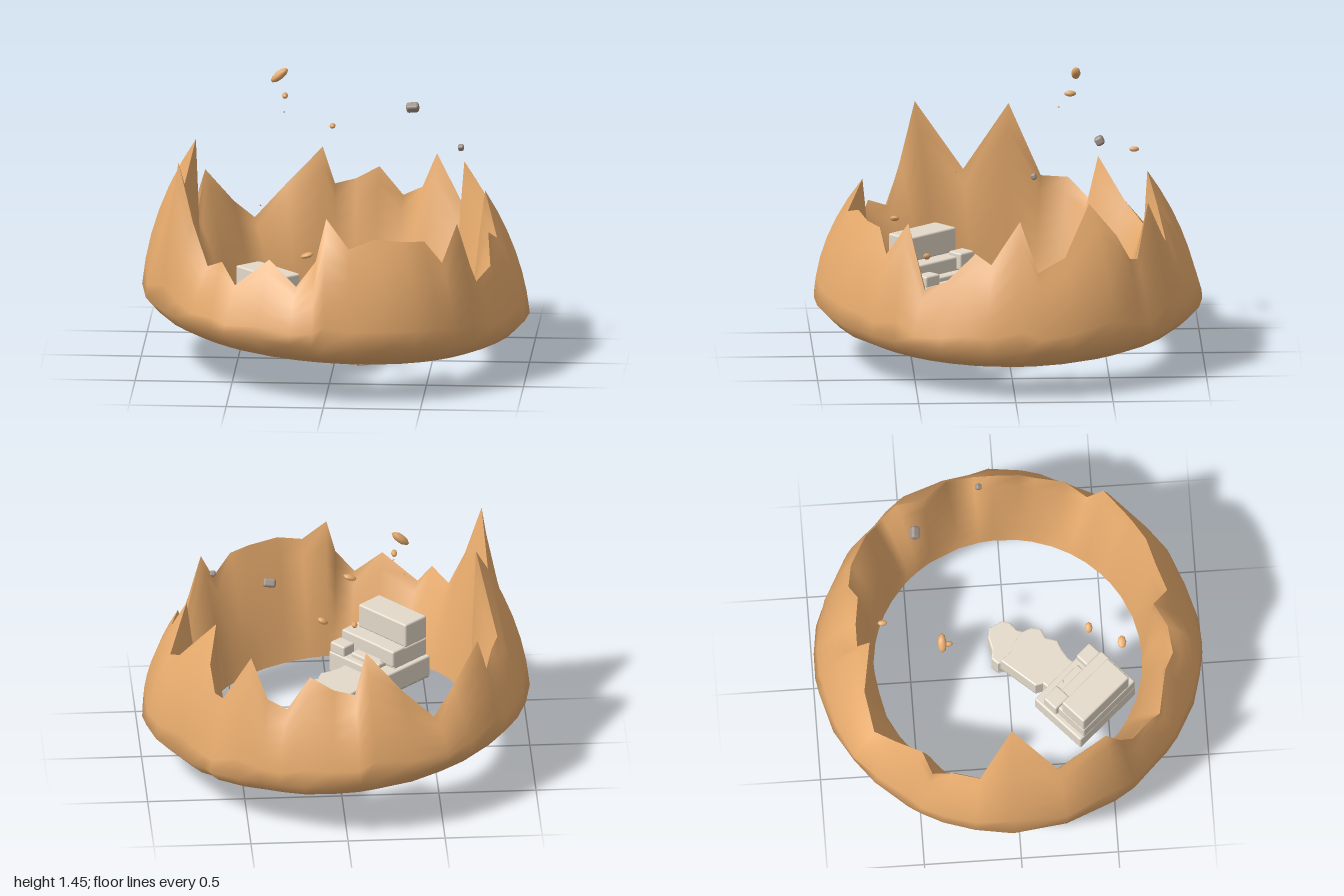
import * as THREE from 'three';
import { RoundedBoxGeometry } from 'three/addons/geometries/RoundedBoxGeometry.js';

const mat = (name, color, side = THREE.FrontSide) => {
  const m = new THREE.MeshStandardMaterial({ color, side });
  m.name = name;
  return m;
};

export function createModel() {
  const root = new THREE.Group();
  root.name = 'brokenRingWithSteps';
  const clay = mat('orange clay', 0xe7ab6d, THREE.DoubleSide);
  const stone = mat('pale stone', 0xe4dacb);
  const under = mat('grey stone underside', 0xbab5af);
  const pebble = mat('grey pebble', 0xa09389);

  let seed = 7;
  const rnd = () => (seed = (seed * 16807) % 2147483647) / 2147483647;
  const add = (parent, name, geo, material) => {
    const mesh = new THREE.Mesh(geo, material);
    mesh.name = name;
    parent.add(mesh);
    return mesh;
  };

  // Jagged upper edge, once around from the front: x, y, z per point
  const edge = [
    0, .94, .75, .12, .8, .83, .25, .84, .78, .4, .82, .74, .5, .81, .68, .59, .69, .65,
    .66, .87, .54, .75, .54, .46, .82, .6, .35, .8, .74, .2, .84, .69, .12, .77, .9, -.03,
    .86, .65, -.12, .82, .72, -.26, .64, .96, -.39, .68, .8, -.53, .66, .67, -.6, .62, .66, -.64,
    .48, .92, -.7, .4, .72, -.78, .3, .67, -.8, .18, .83, -.76, .06, .76, -.78, -.05, .73, -.78,
    -.11, .94, -.72, -.3, .73, -.76, -.46, .56, -.72, -.56, .67, -.62, -.7, .87, -.49,
    -.74, .64, -.44, -.78, .74, -.34, -.82, .74, -.2, -.72, 1.15, -.03, -.81, .78, .2,
    -.78, 1.15, .45, -.7, .85, .53, -.62, .64, .6, -.54, .69, .7, -.47, .58, .75, -.29, .73, .79,
    -.15, .6, .84, -.05, .73, .82,
  ];
  const count = edge.length / 3, steps = 7;
  const columns = Array.from({ length: count }, (_, i) => {
    const [x, y, z] = edge.slice(i * 3, i * 3 + 3);
    const a = Math.atan2(x, z);
    return { a, y, r: Math.hypot(x, z), tilt: -.06 * Math.sin(a),
      belly: 1 - .025 * rnd() * Math.abs(Math.sin(2 * a)), lean: .935 + .06 * rnd() };
  });

  // Quadratic curve through [radius, height] points
  const bend = (p, c, q) => Array.from({ length: steps }, (_, j) => {
    const t = j / (steps - 1), u = 1 - t;
    return [0, 1].map((k) => u * u * p[k] + 2 * u * t * c[k] + t * t * q[k]);
  });

  // Closed band lofted through one [radius, height] profile per column
  const band = (name, profile) => {
    const pos = [], index = [];
    columns.forEach((col, i) => {
      const pts = profile(col), rows = pts.length, n = (i + 1) % count;
      pts.forEach(([r, h], j) => {
        pos.push(r * Math.sin(col.a), h, r * Math.cos(col.a));
        if (j === rows - 1) return;
        const p = i * rows + j, q = n * rows + j;
        index.push(p, q, q + 1, p, q + 1, p + 1);
      });
    });
    const geo = new THREE.BufferGeometry();
    geo.setAttribute('position', new THREE.Float32BufferAttribute(pos, 3));
    geo.setIndex(index);
    geo.computeVertexNormals();
    add(root, name, geo, clay);
  };

  // Outer wall: from the inner foot round the belly up to the edge
  band('ringOuterWall', ({ y, r, tilt, belly, lean }) => {
    const y0 = .315 + tilt;
    const foot = [[.69, .19], [.75, .177], [.82, .193], [.93 * belly, .24]];
    return [
      ...foot.map(([fr, h]) => [fr, h + tilt * fr]),
      ...bend([belly, y0], [lean, y0 + (y - y0) * .52], [r, y]),
    ];
  });

  // Inner wall: from the edge down to the foot
  band('ringInnerWall', ({ y, r, tilt }) => {
    const y0 = .19 + tilt * .69;
    return bend([r, y], [.69 + (r - .69) * .4, y0 + (y - y0) * .55], [.69, y0]);
  });

  // Stepping slabs: flat outline in x, z raised between two heights
  const slab = (name, outline, bottom, top) => {
    const g = new THREE.Group();
    g.name = name;
    const shape = new THREE.Shape(outline.map(([x, z]) => new THREE.Vector2(x, -z)));
    const layer = (part, y, options, material) => {
      const geo = new THREE.ExtrudeGeometry(shape, options);
      geo.rotateX(-Math.PI / 2);
      geo.translate(0, y, 0);
      add(g, part, geo, material);
    };
    const b = .008;
    layer('slabBody', bottom + .004 + b, { depth: top - bottom - .004 - 2 * b, bevelThickness: b,
      bevelSize: b, bevelOffset: -b, bevelSegments: 2 }, stone);
    layer('slabUnderside', bottom, { depth: .005, bevelEnabled: false }, under);
    root.add(g);
  };
  slab('lowSteppingStone', [[.02, -.05], [.05, -.08], [.1, -.075], [.17, -.09], [.22, -.08], [.255, -.01],
    [.24, .03], [.2, .06], [.18, .11], [.12, .135], [.07, .1], [.09, .05], [.08, .04], [.03, .01]], 0, .135);
  slab('middleSteppingSlab', [[-.03, -.04], [.02, .02], [.07, .04], [.12, .08], [.14, .13], [.13, .18],
    [.08, .2], [.06, .26], [.01, .28], [-.04, .31], [-.1, .38], [-.25, .25], [-.17, .17], [-.18, .13]], .2, .32);

  // Stair block, climbing away from the slabs: x, y, z, width, height, depth
  const stairs = new THREE.Group();
  stairs.name = 'stairBlock';
  stairs.position.set(-.25, 0, .38);
  stairs.rotation.y = -.835;
  root.add(stairs);
  add(stairs, 'stairUnderside', new THREE.BoxGeometry(.4, .006, .32), under).position.y = .241;
  [
    [0, .302, 0, .41, .118, .33],
    [.01, .405, .045, .38, .1, .24],
    [-.01, .518, .085, .34, .13, .155],
    [.15, .385, -.12, .1, .06, .08],
    [-.15, .43, -.06, .1, .09, .09],
    [-.02, .36, -.1, .2, .05, .06],
  ].forEach(([x, y, z, w, h, d], i) =>
    add(stairs, 'stairStep' + (i + 1), new RoundedBoxGeometry(w, h, d, 2, .01), stone).position.set(x, y, z));

  // Floating debris: x, y, z, half sizes, roll
  [
    [-.31, 1.41, -.36, .055, .023, .024, .7], [-.28, 1.31, -.33, .016, .016, .03, .3],
    [-.055, 1.07, -.65, .016, .014, .026, .2], [-.11, .7, .58, .036, .014, .024, .3],
    [.04, .535, .42, .03, .015, .02, .5], [-.28, 1.24, -.27, .005, .004, .005, 0],
    [-.37, .88, .26, .005, .004, .005, 0],
  ].forEach(([x, y, z, a, b, c, roll], i) => {
    const m = add(root, 'clayShard' + (i + 1), new THREE.SphereGeometry(1, 8, 5), clay);
    m.position.set(x, y, z);
    m.scale.set(a, b, c);
    m.rotation.z = roll;
  });
  [[.37, 1.225, -.455, .066, .046], [.64, 1.107, -.107, .03, .03]].forEach(([x, y, z, w, h], i) => {
    const m = add(root, 'floatingPebble' + (i + 1), new RoundedBoxGeometry(w, h, h, 2, h * .3), pebble);
    m.position.set(x, y, z);
    m.rotation.set(.5, 0, .1);
  });

  return root;
}
